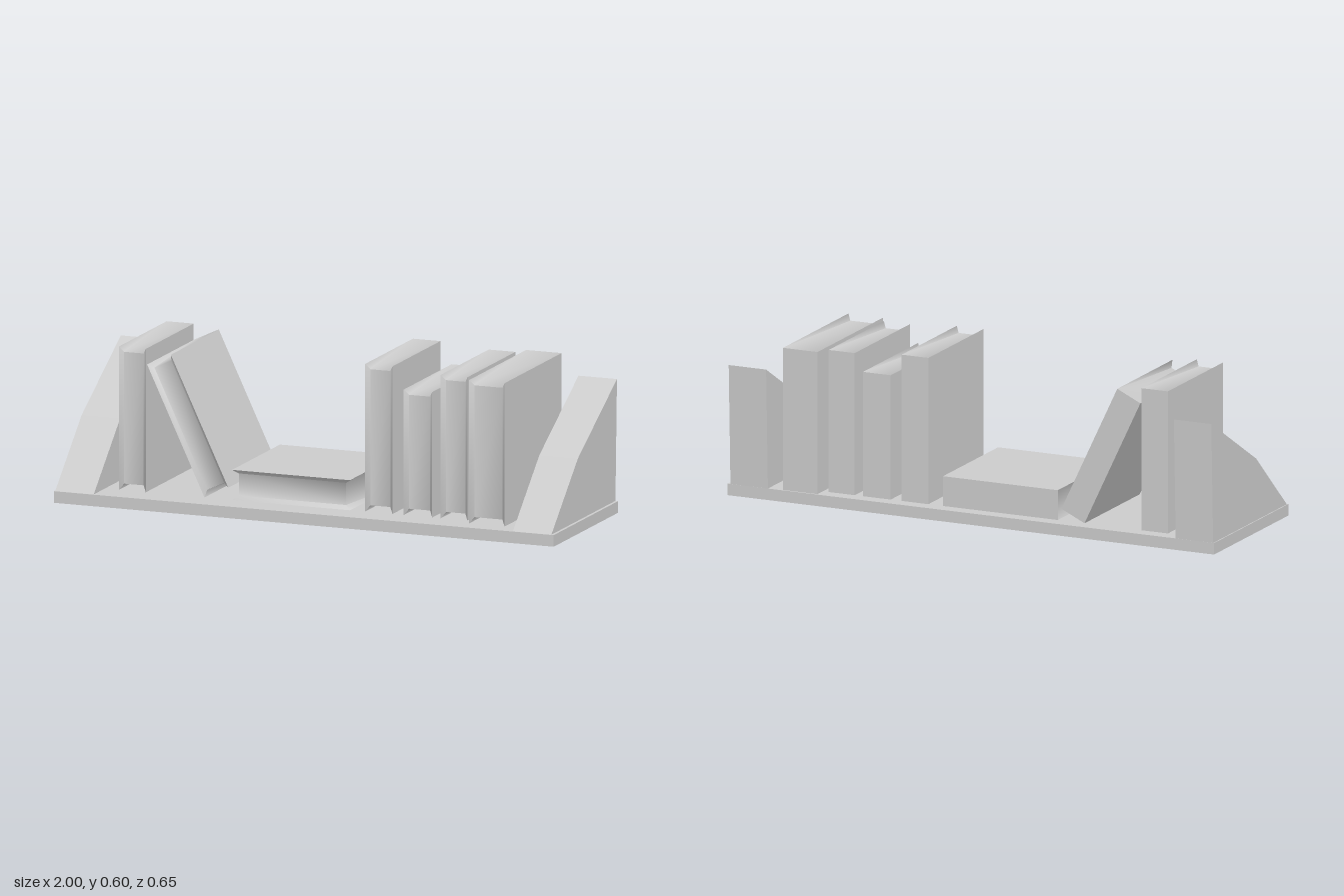
import * as THREE from 'three';
import { toCreasedNormals } from 'three/addons/utils/BufferGeometryUtils.js';

const material = new THREE.MeshStandardMaterial({ color: 0xcccccc });

// Closed book standing on y = 0: spine at -z, pages sunk between the covers,
// sloping from the spine edges down to a recessed fore-edge.
function bookGeometry(w, h, d) {
  const inX = 0.015, inY = 0.022, inZ = 0.016;
  const ring = (x, y0, y1, z) => [[-x, y0, z], [x, y0, z], [x, y1, z], [-x, y1, z]];
  const points = [
    ...ring(w / 2, 0, h, -d / 2),                          // 0-3 spine
    ...ring(w / 2, 0, h, d / 2),                           // 4-7 cover front edges
    ...ring(w / 2 - inX, inY, h - inY, d / 2 - inZ),       // 8-11 fore-edge
  ];
  const faces = [
    [0, 3, 2, 1],                              // spine
    [5, 1, 2, 6], [0, 4, 7, 3],                // covers
    [8, 9, 10, 11],                            // fore-edge
    [11, 10, 2, 3], [0, 1, 9, 8],              // page top and bottom
    [9, 5, 6, 10], [4, 8, 11, 7],              // cover insides, front
    [10, 6, 2], [7, 11, 3], [9, 1, 5], [4, 0, 8], // cover insides, ends
  ];
  const index = [];
  for (const [a, b, c, e] of faces) {
    index.push(a, b, c);
    if (e !== undefined) index.push(a, c, e);
  }
  const geometry = new THREE.BufferGeometry();
  geometry.setAttribute('position', new THREE.Float32BufferAttribute(points.flat(), 3));
  geometry.setIndex(index);
  return toCreasedNormals(geometry, 1.1);
}

export function createModel() {
  const group = new THREE.Group();
  const shelfTop = 0.044;

  function add(name, geometry, x, y, z, turn = 0) {
    const mesh = new THREE.Mesh(geometry, material);
    mesh.name = name;
    mesh.position.set(x, y, z);
    mesh.rotation.z = turn;
    group.add(mesh);
  }

  // Shelf board
  add('shelf', new THREE.BoxGeometry(2, shelfTop, 0.633), 0, shelfTop / 2, 0.008);

  // Upright books: left x, right x, top y, back z, front z
  const upright = [
    [-0.785, -0.677, 0.588, -0.256, 0.214],
    [0.2, 0.31, 0.604, -0.256, 0.214],
    [0.355, 0.469, 0.52, -0.256, 0.214],
    [0.503, 0.61, 0.588, -0.256, 0.214],
    [0.634, 0.776, 0.588, -0.302, 0.257],
  ];
  for (const [x0, x1, top, z0, z1] of upright) {
    add('uprightBook', bookGeometry(x1 - x0, top - shelfTop, z1 - z0),
      (x0 + x1) / 2, shelfTop, (z0 + z1) / 2);
  }

  // Leaning book, resting on its lower left edge
  const lean = 0.442, thick = 0.105;
  add('leaningBook', bookGeometry(thick, 0.537, 0.47),
    -0.442 + Math.cos(lean) * thick / 2, shelfTop + Math.sin(lean) * thick / 2, -0.021, lean);

  // Book lying flat, fore-edge to the front
  add('flatBook', bookGeometry(0.114, 0.472, 0.47), 0.14, shelfTop + 0.057, -0.021, Math.PI / 2);

  // Wedge bookends: profile drawn in (-z, y), extruded along x
  const profile = new THREE.Shape([[-0.32, shelfTop], [0.308, shelfTop], [0.323, 0.503], [-0.06, 0.28]]
    .map(([a, b]) => new THREE.Vector2(a, b)));
  const bookend = new THREE.ExtrudeGeometry(profile, { depth: 0.154, bevelEnabled: false });
  bookend.rotateY(Math.PI / 2);
  add('rightBookend', bookend, -0.996, 0, 0);
  add('leftBookend', bookend, 0.835, 0, 0);

  return group;
}
